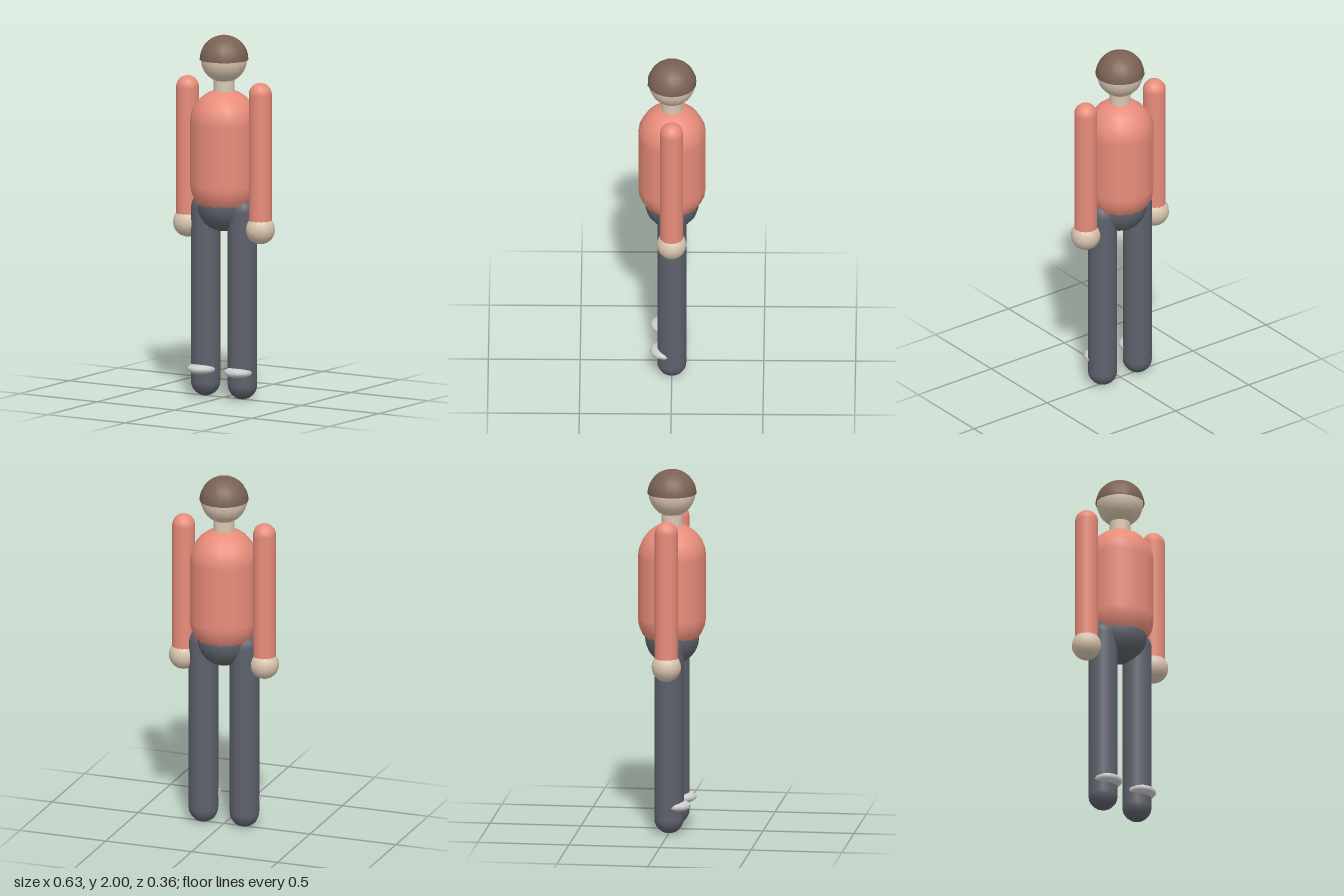
import * as THREE from 'three';

const paint = (color, side = THREE.FrontSide) => new THREE.MeshStandardMaterial({ color, side });

export function createModel() {
  const model = new THREE.Group();
  const skin = paint(0xd9c5b0);
  const shirt = paint(0xe88c7a);
  const trousers = paint(0x5d616b);
  const hairPaint = paint(0x7a6253, THREE.DoubleSide);
  const shoe = paint(0xcccccc);

  const add = (name, geometry, material, x, y, z = 0) => {
    const mesh = new THREE.Mesh(geometry, material);
    mesh.name = name;
    mesh.position.set(x, y, z);
    model.add(mesh);
    return mesh;
  };

  // Upright capsule given by its lowest and highest points
  const capsule = (name, radius, bottom, top, material, x) =>
    add(name, new THREE.CapsuleGeometry(radius, top - bottom - 2 * radius, 6, 14),
      material, x, (top + bottom) / 2);

  // Head, with the hair as an open half shell just outside it
  add('head', new THREE.SphereGeometry(0.127, 18, 14), skin, 0, 1.867);
  add('hair', new THREE.SphereGeometry(0.134, 18, 8, 0, Math.PI * 2, 0, Math.PI / 2),
    hairPaint, 0, 1.866);
  add('neck', new THREE.CylinderGeometry(0.056, 0.06, 0.13, 14), skin, 0, 1.71);

  // Trunk
  capsule('torso', 0.187, 0.994, 1.704, shirt, 0);
  add('pelvis', new THREE.SphereGeometry(0.149, 16, 12), trousers, 0, 1.067);

  // Limbs, mirrored
  for (const [side, s] of [['left', 1], ['right', -1]]) {
    capsule(side + 'Arm', 0.0635, 0.91, 1.757, shirt, s * 0.235);
    add(side + 'Hand', new THREE.SphereGeometry(0.081, 16, 12), skin, s * 0.235, 0.948);
    capsule(side + 'Leg', 0.081, 0, 1.12, trousers, s * 0.119);
    // Flattened shoe cap on the front of the shin
    const foot = add(side + 'Shoe', new THREE.SphereGeometry(0.081, 12, 8), shoe,
      s * 0.119, 0.154, 0.04);
    foot.scale.y = 0.39;
  }
  return model;
}
